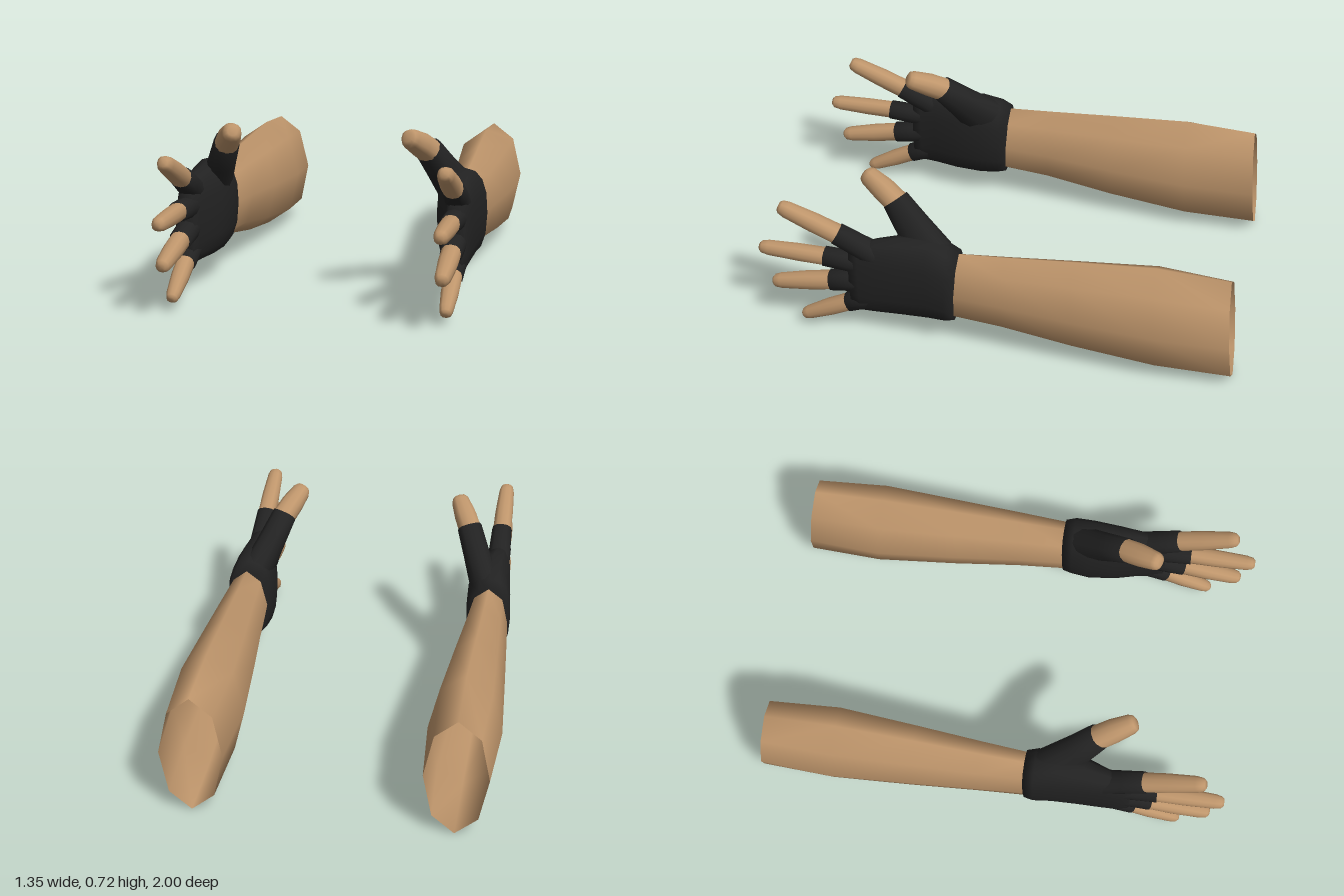
import * as THREE from 'three';

const skin = new THREE.MeshStandardMaterial({ color: 0xbe956b, side: THREE.DoubleSide });
skin.name = 'skin';
const glove = new THREE.MeshStandardMaterial({ color: 0x222222, side: THREE.DoubleSide });
glove.name = 'glove fabric';

// Skin a tube over rings [x, y, z, halfWidth, halfHeight, tilt]; pow < 1 squares the section.
function loft(rings, { side = 1, sides = 8, pow = 1, capEnd = false, capStart = false } = {}) {
  const pos = [], idx = [];
  const centres = rings.map(r => new THREE.Vector3(r[0], r[1], r[2]));
  const X = new THREE.Vector3(1, 0, 0);
  const round = t => Math.sign(t) * Math.pow(Math.abs(t) < 1e-6 ? 0 : Math.abs(t), pow);
  rings.forEach(([, , , rx, ry, tilt], i) => {
    const d = centres[Math.min(i + 1, rings.length - 1)].clone().sub(centres[Math.max(i - 1, 0)]);
    if (tilt !== undefined) d.set(0, tilt, 1);
    d.normalize();
    const v = d.clone().cross(X).normalize(), u = v.clone().cross(d);
    for (let j = 0; j < sides; j++) {
      const a = j / sides * Math.PI * 2;
      const p = centres[i].clone().addScaledVector(u, rx * round(Math.cos(a)))
        .addScaledVector(v, ry * round(Math.sin(a)));
      pos.push(p.x * side, p.y, p.z);
    }
  });
  const tri = (a, b, c) => (side > 0 ? idx.push(a, b, c) : idx.push(a, c, b));
  for (let i = 0; i < rings.length - 1; i++) {
    for (let j = 0; j < sides; j++) {
      const a = i * sides + j, b = i * sides + (j + 1) % sides;
      tri(a, b, b + sides);
      tri(a, b + sides, a + sides);
    }
  }
  const cap = (i, flip) => {
    const c = pos.length / 3, o = i * sides;
    pos.push(centres[i].x * side, centres[i].y, centres[i].z);
    for (let j = 0; j < sides; j++) {
      const a = o + j, b = o + (j + 1) % sides;
      flip ? tri(b, a, c) : tri(a, b, c);
    }
  };
  if (capEnd) cap(rings.length - 1, false);
  if (capStart) cap(0, true);
  const g = new THREE.BufferGeometry();
  g.setAttribute('position', new THREE.Float32BufferAttribute(pos, 3));
  g.setIndex(idx);
  g.computeVertexNormals();
  return g;
}

// Each digit: glove root, cut edge and fingertip, with half sizes at the root, cut and tip.
const digits = [
  { name: 'index', root: [0.55, 0.41, 0.47], cut: [0.55, 0.512, 0.66], tip: [0.55, 0.62, 0.9], r: [0.052, 0.041, 0.034] },
  { name: 'middle', root: [0.55, 0.365, 0.5], cut: [0.55, 0.384, 0.72], tip: [0.549, 0.392, 1.0], r: [0.05, 0.037, 0.031] },
  { name: 'ring', root: [0.55, 0.29, 0.5], cut: [0.55, 0.26, 0.7], tip: [0.55, 0.214, 0.955], r: [0.05, 0.04, 0.032] },
  { name: 'little', root: [0.55, 0.215, 0.48], cut: [0.55, 0.151, 0.63], tip: [0.55, 0.05, 0.835], r: [0.05, 0.037, 0.028] },
  { name: 'thumb', root: [0.51, 0.43, 0.27], cut: [0.42, 0.622, 0.44], tip: [0.357, 0.695, 0.582], r: [0.1, 0.05, 0.04] },
];

function makeArm(side) {
  const arm = new THREE.Group();
  arm.name = side > 0 ? 'leftArm' : 'rightArm';
  const add = (name, geometry, material) => {
    const m = new THREE.Mesh(geometry, material);
    m.name = name;
    arm.add(m);
  };

  // Forearm, open at the elbow
  add('forearm', loft([
    [0.525, 0.247, -0.98, 0.13, 0.246, -0.08],
    [0.525, 0.267, -0.67, 0.15, 0.248, -0.06],
    [0.53, 0.281, -0.33, 0.125, 0.217, -0.03],
    [0.535, 0.3, -0.04, 0.102, 0.181, 0.02],
    [0.537, 0.306, 0.17, 0.086, 0.166, 0.05],
  ], { side }), skin);

  // Palm and cuff of the glove
  add('glovePalm', loft([
    [0.537, 0.307, 0.158, 0.088, 0.169, 0.05],
    [0.536, 0.315, 0.2, 0.097, 0.186, 0.03],
    [0.528, 0.325, 0.28, 0.096, 0.2, 0],
    [0.534, 0.32, 0.4, 0.083, 0.195, 0],
    [0.547, 0.312, 0.5, 0.062, 0.186, 0],
    [0.552, 0.3, 0.57, 0.05, 0.173, 0],
    [0.552, 0.298, 0.61, 0.04, 0.14, 0],
  ], { side, sides: 16, pow: 0.8, capEnd: true, capStart: true }), glove);

  for (const { name, root, cut, tip, r } of digits) {
    const thumb = name === 'thumb';
    const mix = (a, b, t) => a.map((v, i) => v + (b[i] - v) * t);
    const ring = (c, k, h = k) => [...c, k, h];
    // Glove sleeve
    add(name + 'Sleeve', loft([
      ring(root, thumb ? 0.065 : r[0], r[0]),
      ring(mix(root, cut, 0.55), thumb ? 0.058 : r[1] + 0.007, thumb ? 0.073 : r[1] + 0.006),
      ring(cut, r[1] + 0.004),
    ], { side, sides: 12, pow: 0.85, capEnd: true }), glove);
    // Bare end of the digit, with a blunt rounded tip
    add(name + (thumb ? 'Tip' : 'Finger'), loft([
      ring(mix(root, cut, 0.94), r[1]),
      ring(mix(cut, tip, 0.4), r[1] * 0.98, r[1] * 0.97),
      ring(mix(cut, tip, 0.86), r[2]),
      ring(mix(cut, tip, 0.96), r[2] * 0.82),
      ring(tip, r[2] * 0.5),
    ], { side, sides: 12, pow: 0.85, capEnd: true }), skin);
  }
  return arm;
}

export function createModel() {
  const model = new THREE.Group();
  model.name = 'glovedArms';
  model.add(makeArm(1), makeArm(-1));
  return model;
}
